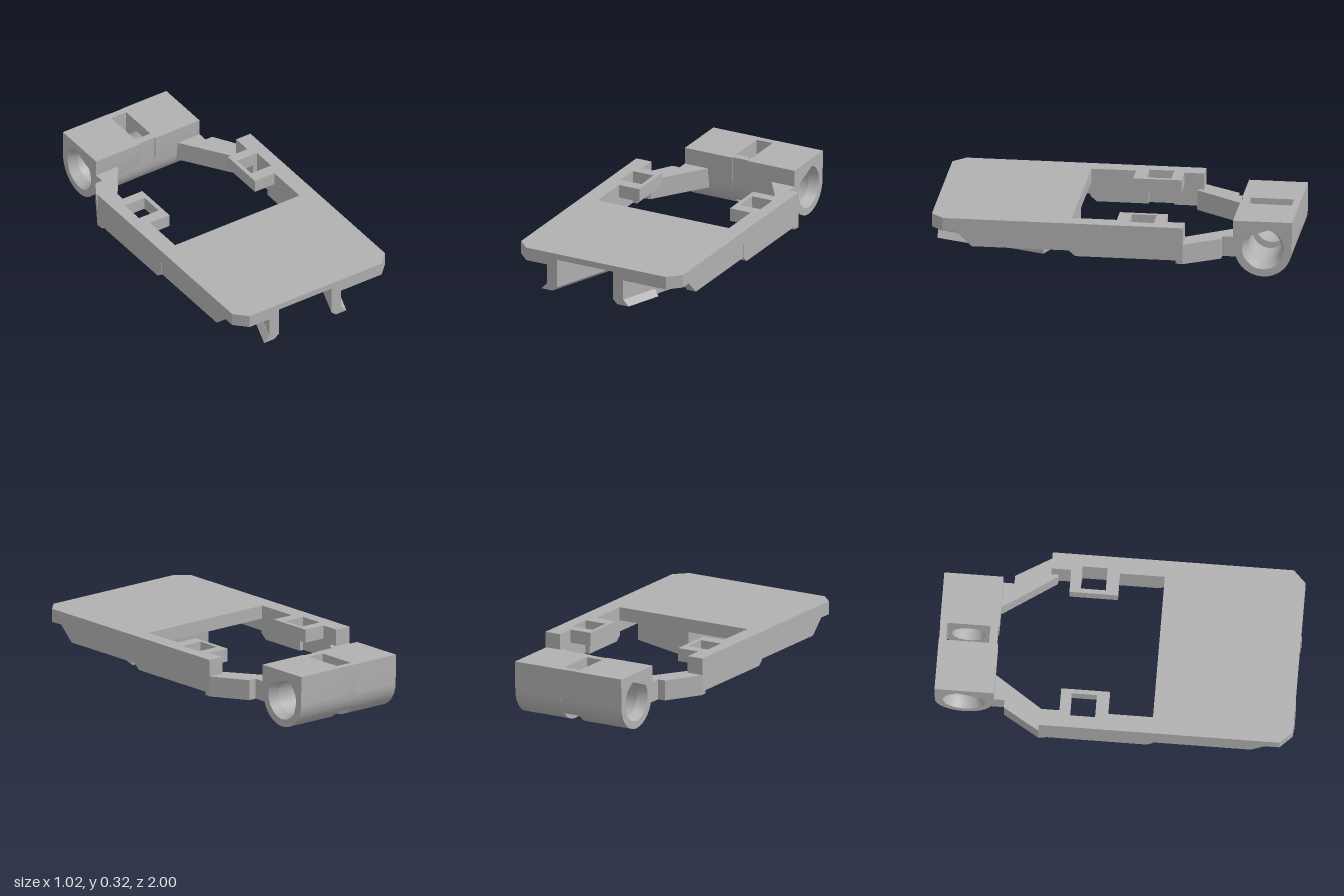
import * as THREE from 'three';
import { toCreasedNormals } from 'three/addons/utils/BufferGeometryUtils.js';

const grey = new THREE.MeshStandardMaterial({ color: 0xb0b0b0 });
grey.name = 'grey plastic';

const toShape = (pts) => new THREE.Shape(pts.map(([x, z]) => new THREE.Vector2(x, -z)));
const mirror = (pts) => pts.map(([x, z]) => [-x, z]);

// Upright prism from an (x, z) outline; an optional second outline shapes its bottom.
function prism(name, top, y0, y1, { bottom = null, holes = [] } = {}) {
  const shape = toShape(top);
  holes.forEach((h) => shape.holes.push(toShape(h)));
  const geo = new THREE.ExtrudeGeometry(shape, { depth: y1 - y0, bevelEnabled: false });
  geo.rotateX(-Math.PI / 2);
  if (bottom) {
    const p = geo.attributes.position;
    for (let i = 0; i < p.count; i++) {
      if (p.getY(i) > 1e-4) continue;
      const k = top.findIndex(([x, z]) => Math.hypot(x - p.getX(i), z - p.getZ(i)) < 1e-4);
      if (k >= 0) p.setXYZ(i, bottom[k][0], 0, bottom[k][1]);
    }
    geo.computeVertexNormals();
  }
  geo.translate(0, y0, 0);
  const mesh = new THREE.Mesh(geo, grey);
  mesh.name = name;
  return mesh;
}

// Bracket coordinates: a across, b forward, turned 20 degrees under the plate.
const C = Math.cos(0.349), S = Math.sin(0.349);
const at = (a, b) => [-0.028 + a * C - b * S, 0.228 + a * S + b * C];
const front = (a) => at(a, (1 - 0.228 - a * S) / C);
const channel = (inset, back) => [
  front(inset), at(inset, back), at(0.45 - inset, back), front(0.45 - inset),
];

// Barrel section along x from an upright profile; shape x is -z.
const CZ = 0.838, CY = 0.16, R = 0.16;
function barrelPart(name, shape, x0, x1, taper = null) {
  let geo = new THREE.ExtrudeGeometry(shape, { depth: x1 - x0, bevelEnabled: false, curveSegments: 48 });
  if (taper) {
    const p = geo.attributes.position;
    for (let i = 0; i < p.count; i++) {
      const dx = p.getX(i) - CZ, dy = p.getY(i) - CY;
      const outer = taper.outerEnd === 1 ? p.getZ(i) > 1e-4 : p.getZ(i) < 1e-4;
      if (outer && Math.hypot(dx, dy) < taper.from + 0.002) {
        p.setX(i, CZ + dx * taper.to / taper.from);
        p.setY(i, CY + dy * taper.to / taper.from);
      }
    }
  }
  geo = toCreasedNormals(geo, 0.5);
  geo.translate(0, 0, x0);
  geo.rotateY(Math.PI / 2);
  const mesh = new THREE.Mesh(geo, grey);
  mesh.name = name;
  return mesh;
}

function barrelProfile(bore) {
  const s = new THREE.Shape();
  s.moveTo(0.67, 0.32);
  s.lineTo(0.67, 0.2);
  s.lineTo(CZ - R, CY);
  s.absarc(CZ, CY, R, Math.PI, Math.PI * 2, false);
  s.lineTo(1, 0.32);
  const h = new THREE.Path();
  h.absarc(CZ, CY, bore, 0, Math.PI * 2, true);
  s.holes.push(h);
  return s;
}

// Strip of the barrel left in front of or behind the slot
function slotStrip(h0, h1) {
  const pts = [new THREE.Vector2(h0, 0.32)];
  for (let i = 0; i <= 8; i++) {
    const h = h0 + (h1 - h0) * i / 8;
    pts.push(new THREE.Vector2(h, CY - Math.sqrt(Math.max(0, R * R - (h - CZ) ** 2))));
  }
  pts.push(new THREE.Vector2(h1, 0.32));
  return new THREE.Shape(pts);
}

export function createModel() {
  const model = new THREE.Group();
  model.name = 'slidingHolder';

  // Top plate with rails and tabs; the lower layer is notched above the bracket
  const half = [
    [0.51, 0.93], [0.51, -0.41], [0.415, -0.41], [0.415, -0.3], [0.285, -0.3],
    [0.285, -0.03], [0.415, -0.03], [0.415, 0.22],
  ];
  const rim = [[0.44, 1], ...half, ...mirror(half).reverse(), [-0.44, 1]];
  const hole = [[0.31, -0.24], [0.44, -0.24], [0.44, -0.1], [0.31, -0.1]];
  const holes = [hole, mirror(hole)];
  model.add(prism('topPlate', rim, 0.285, 0.32, { holes }));
  model.add(prism('plateUnderside', [...rim, ...channel(0.06, 0.05)], 0.245, 0.285, { holes }));

  // Side parts
  const railOutline = (z) => [
    [0.51, z], [0.51, -0.41], [0.415, -0.41], [0.415, -0.24], [0.44, -0.24],
    [0.44, -0.1], [0.415, -0.1], [0.415, z],
  ];
  const runner = (z) => [[0.45, 0.22], [0.505, 0.22], [0.505, z], [0.45, z]];
  const arm = [
    [0.505, -0.37], [0.51, -0.41], [0.39, -0.61], [0.345, -0.61], [0.345, -0.69],
    [0.2, -0.69], [0.2, -0.67], [0.4, -0.375], [0.42, -0.37],
  ];
  for (const [side, f] of [['left', (p) => p], ['right', mirror]]) {
    model.add(prism(side + 'Rail', f(railOutline(0.225)), 0.16, 0.245));
    model.add(prism(side + 'RailFoot', f(railOutline(0.225)), 0.13, 0.16,
      { bottom: f(railOutline(0.19)) }));
    model.add(prism(side + 'Runner', f(runner(0.86)), 0.16, 0.245, { bottom: f(runner(0.77)) }));
    model.add(prism(side + 'Arm', f(arm), 0.11, 0.225));
  }

  // Turned U bracket, its opening flared at the bottom
  const outer = [front(0.45), at(0.45, 0), at(0, 0), front(0)];
  const u = [...outer, ...channel(0.06, 0.05)];
  model.add(prism('bracket', u, 0.12, 0.245));
  model.add(prism('bracketFlare', u, 0.095, 0.12,
    { bottom: [...outer, ...channel(0.033, 0.025)] }));

  // Outward lips at the front ends of the bracket legs
  for (const [name, a, d] of [['leftLip', 0.45, 1], ['rightLip', 0, -1]]) {
    const lip = (w) => [at(a, 0.424), at(a + d * w, 0.424), front(a + d * w), front(a)];
    model.add(prism(name, lip(0.002), 0.095, 0.13, { bottom: lip(0.033) }));
  }

  // Shallow ring inside the bracket
  const ringShape = new THREE.Shape().absarc(0, 0, 0.15, 0, Math.PI * 2, false);
  ringShape.holes.push(new THREE.Path().absarc(0, 0, 0.13, 0, Math.PI * 2, true));
  const ringGeo = new THREE.ExtrudeGeometry(ringShape, { depth: 0.012, bevelEnabled: false, curveSegments: 32 });
  ringGeo.rotateX(-Math.PI / 2);
  const ring = new THREE.Mesh(toCreasedNormals(ringGeo, 0.5), grey);
  ring.name = 'seatRing';
  ring.position.set(0.035, 0.274, 0.71);
  model.add(ring);

  // Hinge barrel with countersunk bore and a slot through the middle
  const barrel = new THREE.Group();
  barrel.name = 'hingeBarrel';
  const taper = { from: 0.095, to: 0.118 };
  barrel.add(
    barrelPart('leftBarrel', barrelProfile(0.095), 0.05, 0.29),
    barrelPart('rightBarrel', barrelProfile(0.095), -0.29, -0.05),
    barrelPart('leftBarrelEnd', barrelProfile(0.095), 0.29, 0.345, { ...taper, outerEnd: 1 }),
    barrelPart('rightBarrelEnd', barrelProfile(0.095), -0.345, -0.29, { ...taper, outerEnd: 0 }),
    barrelPart('slotFront', slotStrip(0.678, 0.72), -0.05, 0.05),
    barrelPart('slotBack', slotStrip(0.96, 0.998), -0.05, 0.05),
  );
  model.add(barrel);
  return model;
}
